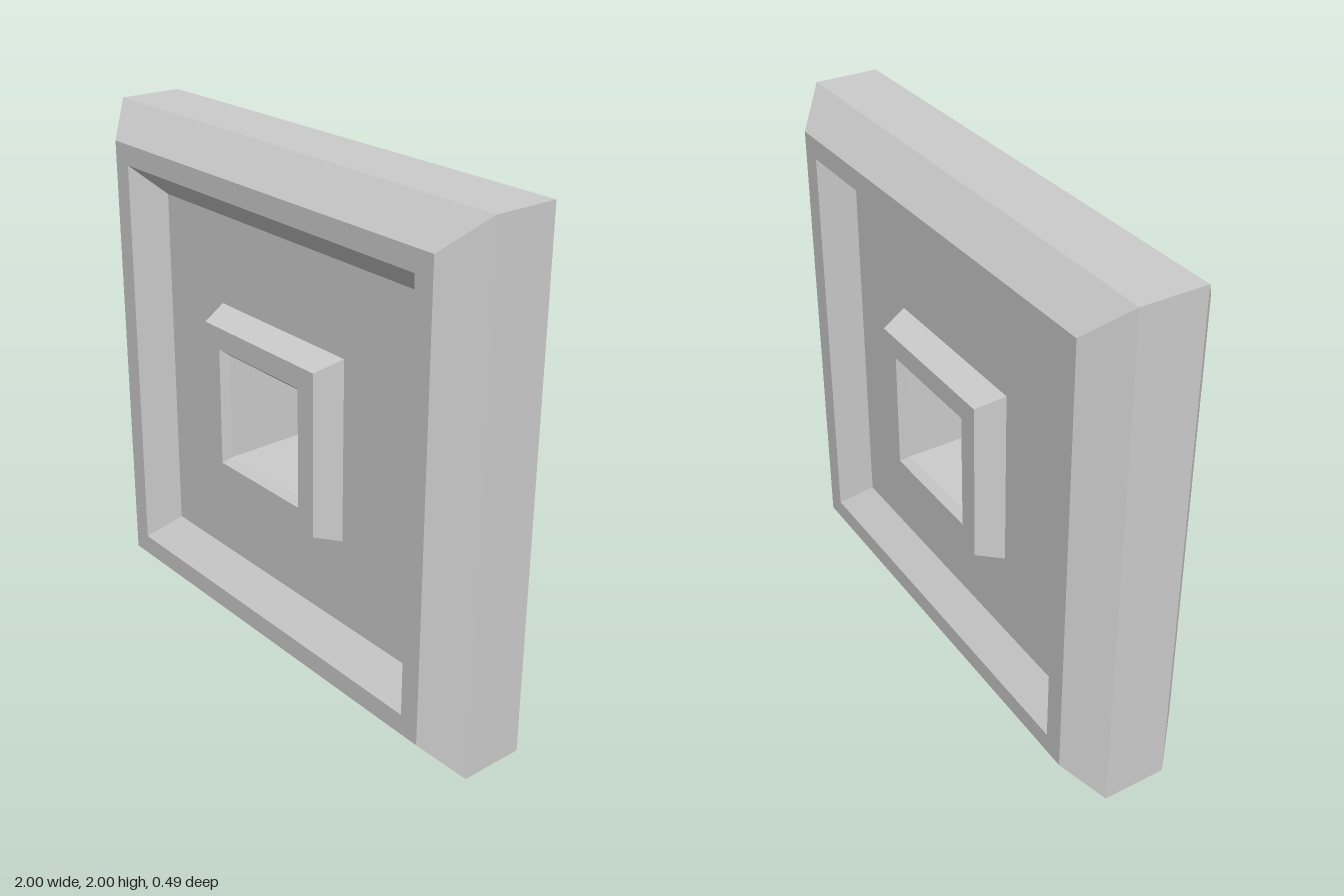
import * as THREE from 'three';

const material = new THREE.MeshStandardMaterial({ color: 0xcccccc, flatShading: true });

// Sweeps a profile of [half-width, z] points around the z axis as a mitred square.
function squareSweep(name, profile) {
  const points = profile.map(([half, z]) => new THREE.Vector2(half * Math.SQRT2, z));
  const geometry = new THREE.LatheGeometry(points, 4, Math.PI / 4).rotateX(Math.PI / 2).toNonIndexed();
  geometry.computeVertexNormals();
  const mesh = new THREE.Mesh(geometry, material);
  mesh.name = name;
  mesh.position.y = 1;
  return mesh;
}

// Mirrors a front profile to the back, listed from back to front.
const mirrored = (front) => [...front.map(([half, z]) => [half, -z]).reverse(), ...front];

export function createModel() {
  const group = new THREE.Group();
  group.name = 'squarePlate';

  const face = 0.245;   // raised faces
  const recess = 0.14;  // sunken panel

  // Bevelled outer frame, from its outer wall in to the panel
  group.add(squareSweep('frame', mirrored([
    [1, 0.125], [0.875, face], [0.795, face], [0.69, recess],
  ])));

  // Flat recessed panels, front and back
  group.add(squareSweep('frontPanel', [[0.69, recess], [0.35, recess]]));
  group.add(squareSweep('backPanel', [[0.35, -recess], [0.69, -recess]]));

  // Raised centre collar with a chamfered square through-hole
  const collar = [[0.35, recess], [0.313, face], [0.23, face], [0.207, 0.217]];
  const back = collar.map(([half, z]) => [half, -z]).reverse();
  group.add(squareSweep('centreCollar', [...collar, ...back]));

  return group;
}
